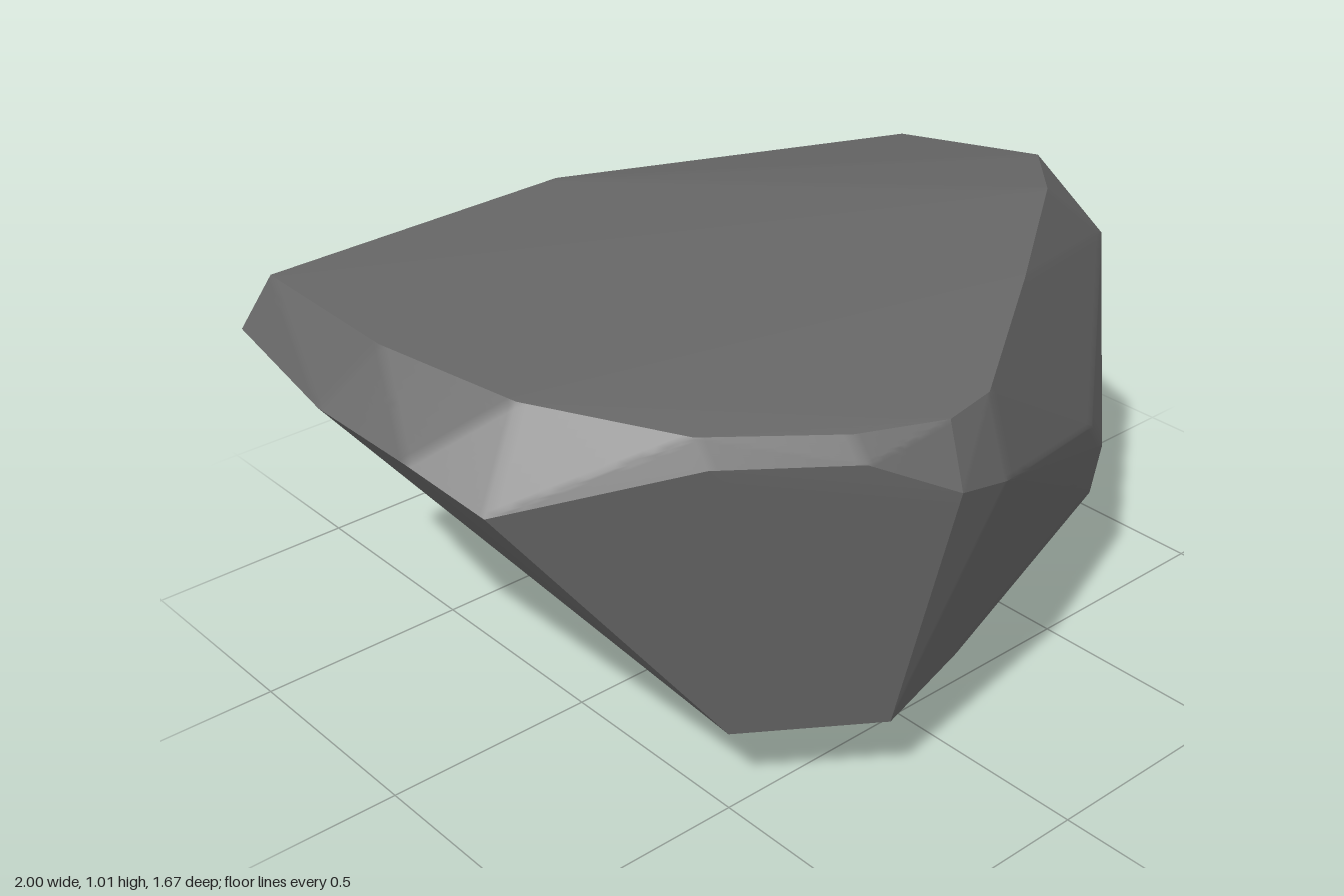
import * as THREE from 'three';
import { ConvexGeometry } from 'three/addons/geometries/ConvexGeometry.js';
import { toCreasedNormals } from 'three/addons/utils/BufferGeometryUtils.js';

const v = (x, y, z) => new THREE.Vector3(x, y, z);

// Rim of the broad, gently tilted top
const topRim = [
  v(-0.87, 0.99, -0.52), v(-0.88, 0.99, -0.1), v(-0.8, 0.97, 0.24), v(-0.6, 0.935, 0.52),
  v(-0.35, 0.92, 0.69), v(-0.17, 0.92, 0.77), v(-0.04, 0.925, 0.75), v(0.3, 0.985, 0.53),
  v(0.65, 1.01, 0.28), v(0.88, 0.96, 0.05), v(0.9, 0.87, -0.42), v(-0.1, 0.985, -0.55),
];

// Widest band, just below the rim
const shoulder = [
  v(-0.94, 0.88, -0.54), v(-1, 0.87, -0.15), v(-0.98, 0.85, 0.12), v(-0.93, 0.79, 0.3),
  v(-0.6, 0.88, 0.56), v(-0.35, 0.87, 0.73), v(-0.19, 0.79, 0.83), v(-0.04, 0.75, 0.81),
  v(0.3, 0.68, 0.65), v(0.5, 0.58, 0.58), v(0.62, 0.46, 0.52), v(0.93, 0.8, 0.22),
  v(1, 0.81, 0), v(0.97, 0.78, -0.31), v(0.94, 0.78, -0.44),
];

// Lower edge of the +x side, above the undercut
const ledge = [
  v(0.9, 0.46, 0.22), v(0.91, 0.49, 0), v(0.9, 0.52, -0.21), v(0.64, 0.31, 0.48),
  v(0.68, 0.34, -0.32), v(0.74, 0.4, -0.57),
];

// Sloping underside, lowest at the back
const foot = [
  v(-0.5, 0.19, 0.5), v(-0.23, 0.2, 0.7), v(0.05, 0.2, 0.62), v(0.4, 0.21, 0.5),
  v(-0.32, 0.13, 0), v(-0.15, 0.07, -0.5), v(-0.07, 0, -0.84), v(0.1, 0.025, -0.79),
  v(0.5, 0.06, -0.67), v(0.53, 0.13, -0.3),
];

// Shallow hollows: centre, radius, push
const hollows = [
  [v(0.72, 0.3, 0.05), 0.42, v(-0.06, 0.04, 0)],
  [v(0.82, 0.5, -0.42), 0.22, v(-0.03, 0, 0.02)],
  [v(-0.45, 0.45, -0.72), 0.4, v(0, 0, 0.015)],
];

// Splits every triangle into four
function subdivide(points) {
  const out = [];
  for (let i = 0; i < points.length; i += 3) {
    const [a, b, c] = points.slice(i, i + 3);
    const ab = a.clone().lerp(b, 0.5), bc = b.clone().lerp(c, 0.5), ca = c.clone().lerp(a, 0.5);
    out.push(a, ab, ca, ab, b, bc, ca, bc, c, ab, bc, ca);
  }
  return out.map((p) => p.clone());
}

function boulderGeometry() {
  const hull = new ConvexGeometry([...topRim, ...shoulder, ...ledge, ...foot]);
  const pos = hull.getAttribute('position');
  let points = [];
  for (let i = 0; i < pos.count; i++) points.push(new THREE.Vector3().fromBufferAttribute(pos, i));
  for (let i = 0; i < 4; i++) points = subdivide(points);

  // Press the hollows into the faceted block
  for (const p of points) {
    const start = p.clone();
    for (const [centre, radius, push] of hollows) {
      const t = Math.max(0, 1 - start.distanceToSquared(centre) / (radius * radius));
      p.addScaledVector(push, t * t);
    }
  }
  return toCreasedNormals(new THREE.BufferGeometry().setFromPoints(points), 0.42);
}

export function createModel() {
  const group = new THREE.Group();
  group.name = 'rock';
  const boulder = new THREE.Mesh(boulderGeometry(), new THREE.MeshStandardMaterial({ color: 0x666666 }));
  boulder.name = 'boulder';
  group.add(boulder);
  return group;
}
